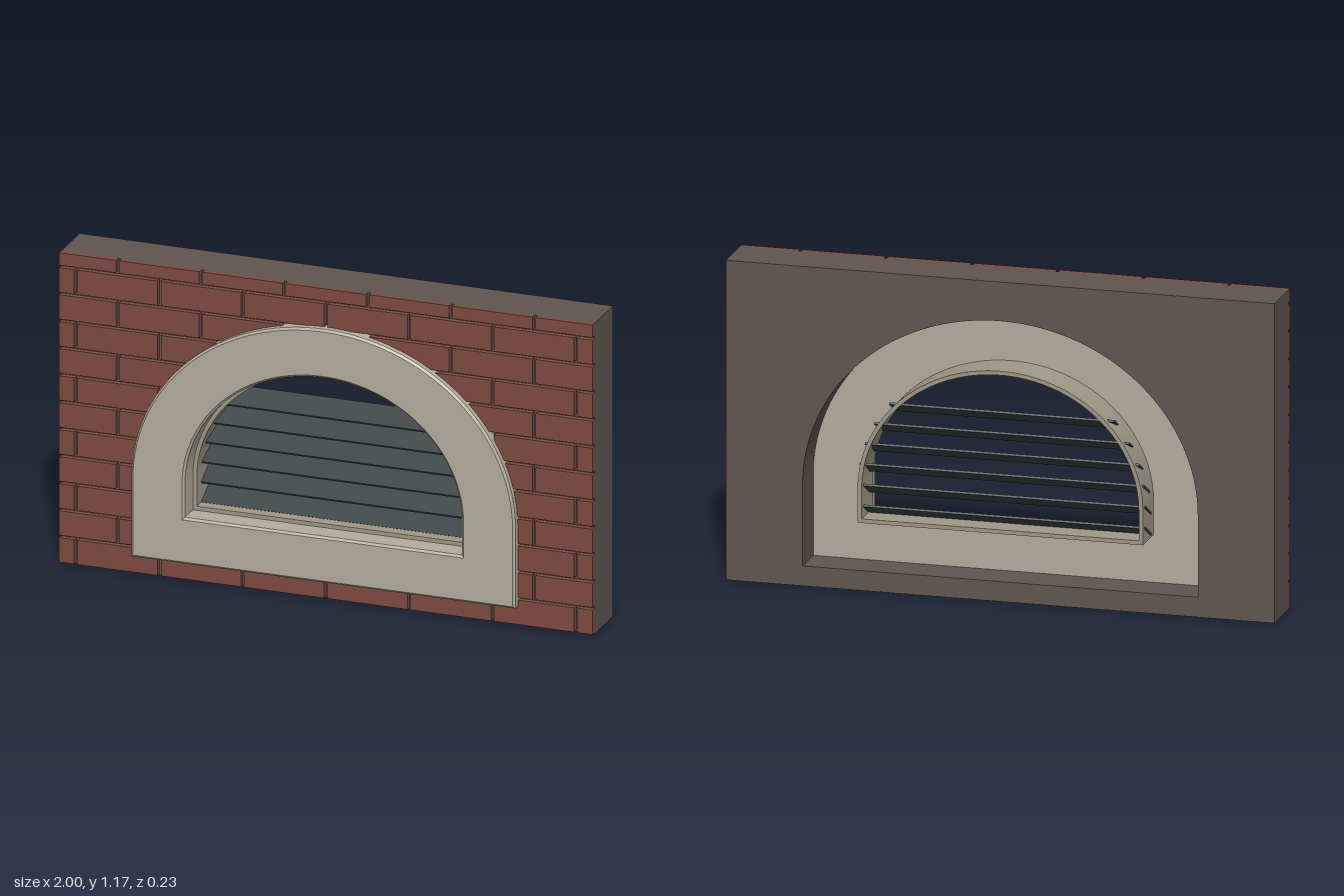
import * as THREE from 'three';
import { toCreasedNormals } from 'three/addons/utils/BufferGeometryUtils.js';

const SPRING = 0.37; // height where the arches begin to curve
const OUTER = { rx: 0.72, ry: 0.655, bottom: 0.073 };
const INNER = { rx: 0.52, ry: 0.472, bottom: 0.247 };
const LINING = { rx: 0.505, ry: 0.457, bottom: 0.262 };

const material = (name, color) => {
  const m = new THREE.MeshStandardMaterial({ color });
  m.name = name;
  return m;
};

// Flat-bottomed arch outline, as a Shape or as a hole Path
function arch({ rx, ry, bottom }, Type = THREE.Shape) {
  const p = new Type();
  p.moveTo(-rx, bottom);
  p.lineTo(rx, bottom);
  p.lineTo(rx, SPRING);
  p.absellipse(0, SPRING, rx, ry, 0, Math.PI, false, 0);
  p.closePath();
  return p;
}

// Half width of an arch at height y
function halfWidth({ rx, ry }, y) {
  const t = Math.max(0, y - SPRING) / ry;
  return t >= 1 ? 0 : rx * Math.sqrt(1 - t * t);
}

// Shape with a hole, extruded from z0 to z1
function extrude(shape, hole, z0, z1, bevel = 0) {
  shape.holes.push(arch(hole, THREE.Path));
  const g = new THREE.ExtrudeGeometry(shape, {
    depth: z1 - z0 - 2 * bevel,
    curveSegments: 48,
    bevelEnabled: bevel > 0,
    bevelThickness: bevel,
    bevelSize: bevel,
    bevelOffset: -bevel,
    bevelSegments: 1,
  });
  g.translate(0, 0, z0 + bevel);
  return toCreasedNormals(g, 0.5);
}

export function createModel() {
  const model = new THREE.Group();
  model.name = 'archedWallVent';
  const mortar = material('mortar', 0x5f554f);
  const brick = material('brick', 0x7c4a40);
  const stone = material('stone', 0xb3ac9b);
  const liningStone = material('lining', 0x9f9886);
  const slatMetal = material('slatMetal', 0x394143);

  const add = (parent, name, geometry, mat) => {
    const mesh = new THREE.Mesh(geometry, mat);
    mesh.name = name;
    parent.add(mesh);
    return mesh;
  };

  // Wall with an arched opening
  const wall = new THREE.Shape();
  wall.moveTo(-1, 0);
  wall.lineTo(1, 0);
  wall.lineTo(1, 1.168);
  wall.lineTo(-1, 1.168);
  wall.closePath();
  add(model, 'wall', extrude(wall, OUTER, -0.116, 0.065), mortar);

  // Running-bond brick facing; bricks end inside the stone surround
  const bricks = new THREE.Group();
  bricks.name = 'brickFacing';
  model.add(bricks);
  const course = 0.1015, pitch = 0.3125, joint = 0.012;
  const addBrick = (x0, x1, y0, y1) => {
    if (x1 - x0 < 0.004) return;
    const b = add(bricks, 'brick', new THREE.BoxGeometry(x1 - x0, y1 - y0, 0.022), brick);
    b.position.set((x0 + x1) / 2, (y0 + y1) / 2, 0.075);
  };
  for (let row = 0; row < 12; row++) {
    const y0 = row * course + 0.005;
    const y1 = Math.min(y0 + course - 0.01, 1.168);
    const gap = row > 0 && row < 9 ? halfWidth(OUTER, y1) - 0.012 : 0;
    for (let i = -4; i <= 4; i++) {
      const start = (i - (row % 2) / 2) * pitch;
      const x0 = Math.max(-1, start + joint / 2);
      const x1 = Math.min(1, start + pitch - joint / 2);
      if (gap === 0) addBrick(x0, x1, y0, y1);
      else {
        addBrick(x0, Math.min(x1, -gap), y0, y1);
        addBrick(Math.max(x0, gap), x1, y0, y1);
      }
    }
  }

  // Stone surround: plain body and chamfered face
  const surround = new THREE.Group();
  surround.name = 'stoneSurround';
  model.add(surround);
  add(surround, 'surroundBody', extrude(arch(OUTER), INNER, 0.022, 0.09), stone);
  add(surround, 'surroundFace', extrude(arch(OUTER), INNER, 0.06, 0.116, 0.008), stone);

  // Thin lining sleeve reaching to the back of the wall
  add(model, 'liningSleeve', extrude(arch(INNER), LINING, -0.116, 0.03), liningStone);

  // Louvre slats sloping down to the front, ends let through the sleeve
  const louvre = new THREE.Group();
  louvre.name = 'louvre';
  model.add(louvre);
  for (let i = 0; i < 6; i++) {
    const y = 0.282 + i * 0.0762;
    const width = 2 * (halfWidth(INNER, y) + 0.003);
    const slat = add(louvre, 'slat', new THREE.BoxGeometry(width, 0.008, 0.092), slatMetal);
    slat.position.set(0, y, -0.055);
    slat.rotation.x = 0.52;
  }
  return model;
}
